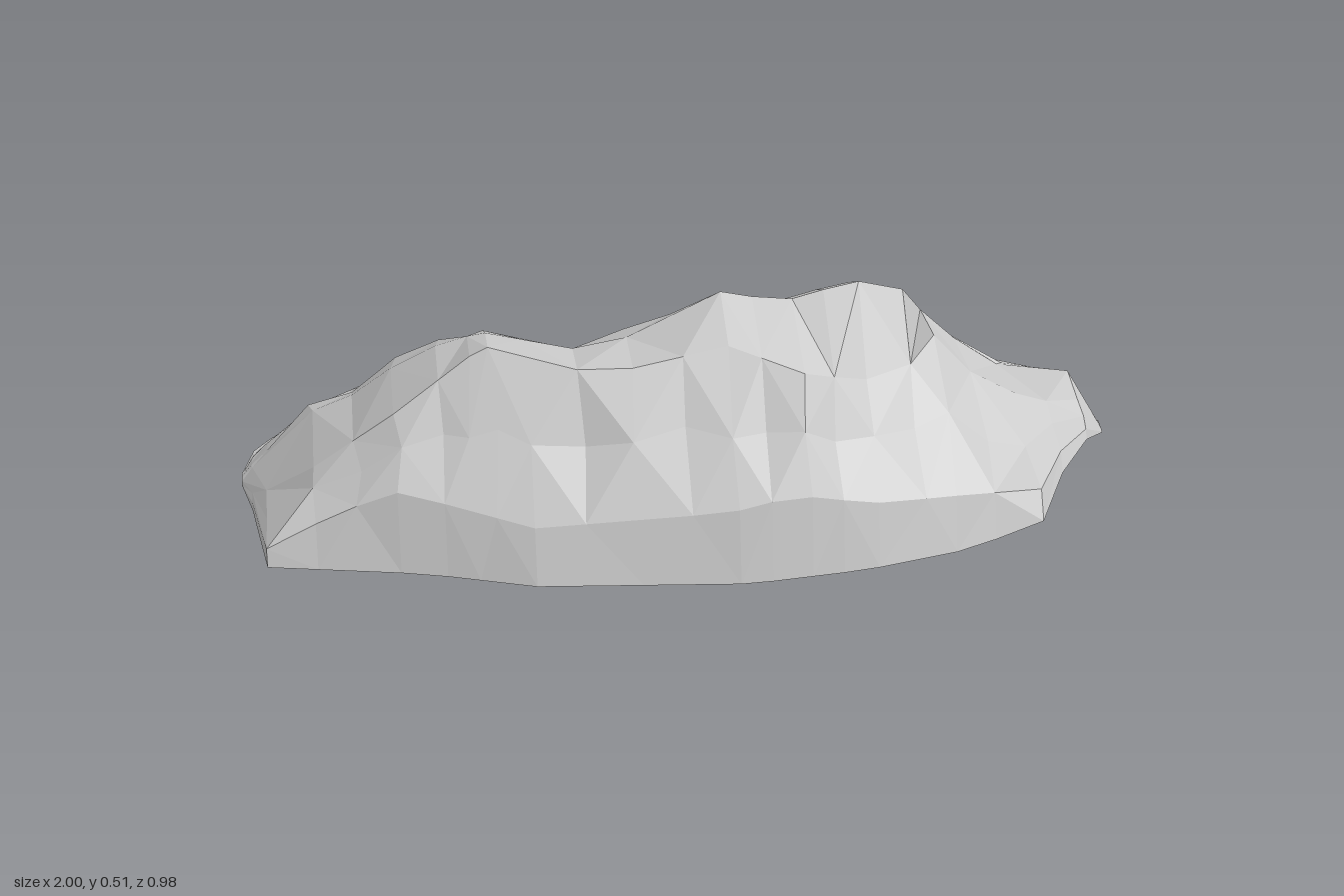
import * as THREE from 'three';

// Guide lines along the rock: flat lists of x, value pairs.
const guides = {
  backZ: [-1, -0.07, -0.98, -0.16, -0.88, -0.3, -0.8, -0.36, -0.55, -0.455, -0.48, -0.44, -0.44, -0.39, -0.36, -0.4,
    -0.13, -0.49, 0.08, -0.35, 0.36, -0.47, 0.56, -0.49, 0.7, -0.4, 0.75, -0.33, 0.85, -0.28, 0.93, -0.28, 1, -0.09],
  frontZ: [-1, -0.03, -0.97, 0.1, -0.94, 0.32, -0.6, 0.38, -0.36, 0.455, 0.1, 0.49, 0.36, 0.46, 0.6, 0.4,
    0.77, 0.365, 0.83, 0.22, 0.95, 0.05, 1, -0.05],
  frontY: [-1, 0.02, 0.6, 0.01, 0.77, 0.05, 0.95, 0.085, 1, 0.02],
  ridgeZ: [-1, -0.05, -0.8, -0.04, -0.6, 0.04, -0.45, 0.08, -0.2, 0.1, 0.08, 0.08, 0.38, 0.07, 0.5, 0.01,
    0.57, -0.13, 0.74, -0.2, 0.93, -0.14, 1, -0.07],
  ridgeY: [-1, 0.03, -0.83, 0.2, -0.75, 0.24, -0.6, 0.38, -0.45, 0.445, -0.2, 0.39, 0.08, 0.515, 0.22, 0.48,
    0.38, 0.52, 0.5, 0.46, 0.57, 0.33, 0.66, 0.23, 0.77, 0.14, 0.85, 0.14, 0.93, 0.14, 1, 0.025],
  edgeZ: [-1, -0.04, -0.94, 0.1, -0.83, 0.19, -0.65, 0.22, -0.45, 0.19, -0.2, 0.25, 0.08, 0.23, 0.25, 0.29,
    0.4, 0.2, 0.5, 0.14, 0.57, 0.04, 0.77, 0.02, 0.93, -0.03, 1, -0.06],
  edgeY: [-1, 0.025, -0.83, 0.19, -0.65, 0.33, -0.45, 0.47, -0.2, 0.415, 0.08, 0.46, 0.25, 0.41, 0.4, 0.34,
    0.5, 0.34, 0.57, 0.355, 0.66, 0.25, 0.77, 0.18, 0.85, 0.14, 0.93, 0.125, 1, 0.025],
  shoulderY: [-1, 0.022, -0.94, 0.06, -0.66, 0.2, -0.36, 0.14, 0.05, 0.17, 0.2, 0.2, 0.4, 0.15, 0.75, 0.11, 0.94, 0.1, 1, 0.022],
};

// Linear reading of a guide at x.
function at(name, x) {
  const g = guides[name];
  let i = 0;
  while (i < g.length - 4 && x > g[i + 2]) i += 2;
  return THREE.MathUtils.mapLinear(x, g[i], g[i + 2], g[i + 1], g[i + 3]);
}

const stations = [-1, -0.975, -0.94, -0.83, -0.74, -0.65, -0.55, -0.48, -0.44, -0.36, -0.25, -0.13, -0.02, 0.08, 0.15,
  0.24, 0.31, 0.39, 0.5, 0.57, 0.66, 0.77, 0.85, 0.93, 1];

// Back slope: how far up towards the ridge, and the swelling there.
const backSlope = [[0.2, 0], [0.42, 0.01], [0.64, 0.012], [0.85, 0.022]];

// Small repeatable offset, -1 to 1, that roughens the facets.
function rough(i, j) {
  const s = Math.sin(i * 127.1 + j * 311.7) * 43758.5453;
  return 2 * (s - Math.floor(s)) - 1;
}

// One closed cross-section: up the long back slope, over the ridge,
// down the steep front and back along the underside.
function section(x, i) {
  const v = {};
  for (const name in guides) v[name] = at(name, x);
  const end = Math.min(1, (1 - Math.abs(x)) * 5);
  const ring = [[x, 0.028, v.backZ]];
  for (const [t, swell] of backSlope) {
    const j = ring.length;
    // Crevice running up from the notch, drifting towards -x
    const cleft = 0.07 * Math.exp(-(((x - 0.1 + 0.2 * t) / 0.08) ** 2)) * (1 - t);
    ring.push([
      x + 0.015 * end * rough(i, j + 20),
      0.028 + (v.ridgeY - 0.028) * t + end * (swell + 0.013 * rough(i, j) - cleft),
      THREE.MathUtils.lerp(v.backZ, v.ridgeZ, t) + 0.018 * end * rough(i, j + 40),
    ]);
  }
  const shoulderZ = v.frontZ - 0.04 * end;
  ring.push([x, v.ridgeY, v.ridgeZ]);
  ring.push([x, v.edgeY, v.edgeZ]);
  ring.push([
    x + 0.015 * end * rough(i, 7),
    (v.edgeY + v.shoulderY) / 2 + 0.02 * end * rough(i, 8),
    (v.edgeZ + shoulderZ) / 2 + 0.02 * end * rough(i, 9),
  ]);
  ring.push([x, v.shoulderY, shoulderZ]);
  ring.push([x, v.frontY, v.frontZ]);
  ring.push([x, x > 0.7 ? 0.02 : 0.004 + 0.004 * (1 + rough(i, 10)), (v.backZ + v.frontZ) / 2 - 0.02]);
  return ring;
}

export function createModel() {
  const rings = stations.map(section);
  const n = rings[0].length;
  const index = [];

  // Skin between neighbouring sections, alternating the diagonals
  for (let i = 0; i < rings.length - 1; i++) {
    for (let j = 0; j < n; j++) {
      const k = (j + 1) % n;
      const a = i * n + j, b = i * n + k, c = a + n, d = b + n;
      if ((i + j) % 2) index.push(a, b, c, b, d, c);
      else index.push(a, b, d, a, d, c);
    }
  }

  // Small caps at both ends
  const last = (rings.length - 1) * n;
  for (let j = 1; j < n - 1; j++) {
    index.push(0, j + 1, j, last, last + j, last + j + 1);
  }

  const geometry = new THREE.BufferGeometry();
  geometry.setAttribute('position', new THREE.Float32BufferAttribute(rings.flat(2), 3));
  geometry.setIndex(index);
  const faceted = geometry.toNonIndexed();
  faceted.computeVertexNormals();

  const rock = new THREE.Mesh(faceted, new THREE.MeshStandardMaterial({ color: 0xcccccc, flatShading: true }));
  rock.name = 'rock';
  const group = new THREE.Group();
  group.name = 'boulder';
  group.add(rock);
  return group;
}
